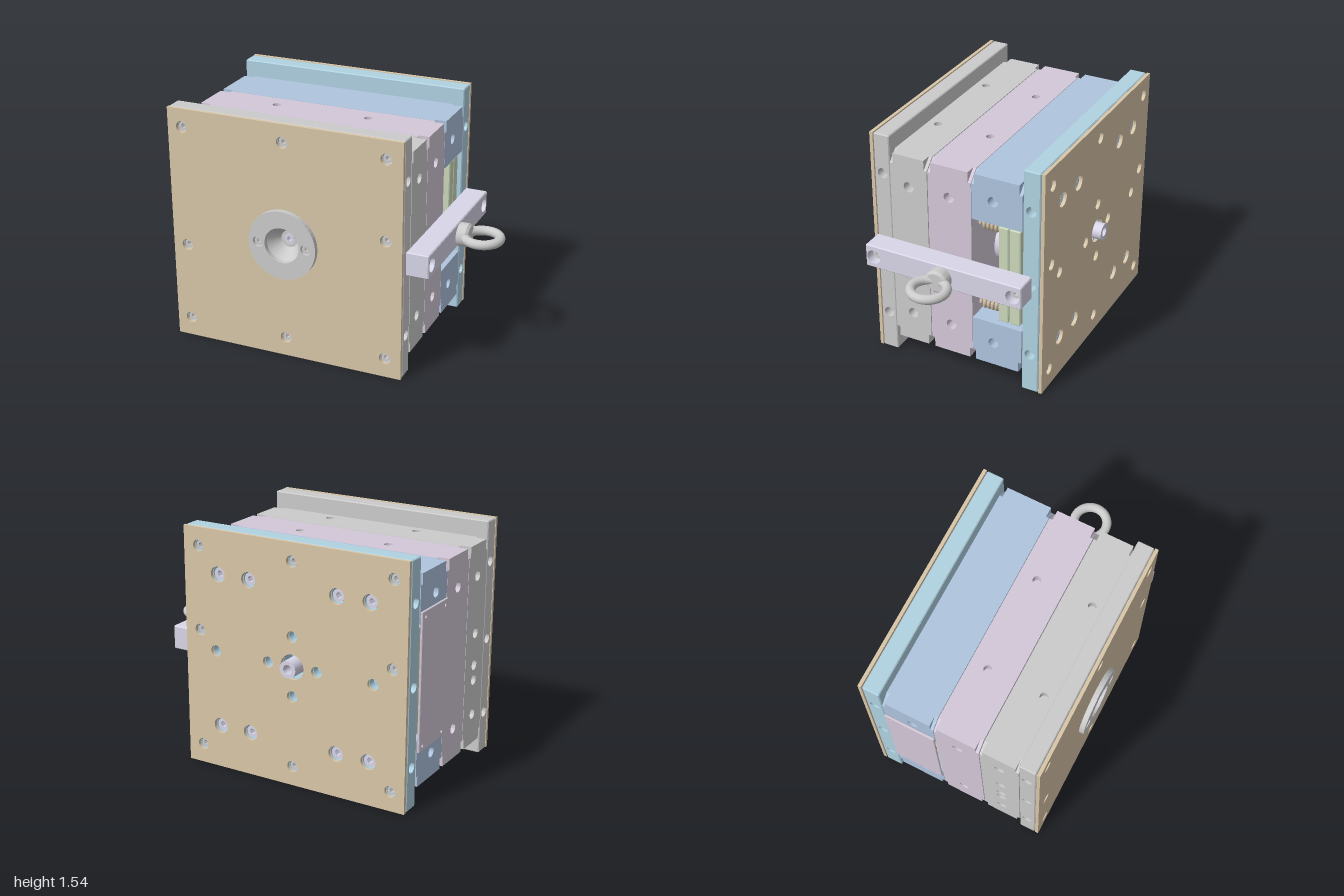
import * as THREE from 'three';
import { mergeGeometries, toCreasedNormals } from 'three/addons/utils/BufferGeometryUtils.js';

const CX = -0.215, CY = 0.772, X0 = -0.985, X1 = 0.555;
const colors = {
  grey: 0xcccccc, tan: 0xd8c6a8, purple: 0xd4c8d8, blue: 0xafc4de, sky: 0xb0d2e2,
  lavender: 0xd8d6e8, green: 0xcbd8bb, yellow: 0xf2ea10,
};
const mats = {};
for (const k in colors) mats[k] = new THREE.MeshStandardMaterial({ color: colors[k] });

const V = (x, y, z) => new THREE.Vector3(x, y, z);
// face frames: u, v, n with u x v = n
const FACES = {
  'x+': [V(0, 0, -1), V(0, 1, 0), V(1, 0, 0)], 'x-': [V(0, 0, 1), V(0, 1, 0), V(-1, 0, 0)],
  'y+': [V(1, 0, 0), V(0, 0, -1), V(0, 1, 0)], 'y-': [V(1, 0, 0), V(0, 0, 1), V(0, -1, 0)],
  'z+': [V(1, 0, 0), V(0, 1, 0), V(0, 0, 1)], 'z-': [V(-1, 0, 0), V(0, 1, 0), V(0, 0, -1)],
};

function circlePath(x, y, r) {
  return new THREE.Path().absarc(x, y, r, 0, Math.PI * 2, true);
}

// box from lo to hi with chamfered edges and blind holes [face, x, y, z, radius, depth]
function drilledBox(lo, hi, holes = [], c = 0.006) {
  const parts = [];
  for (const f in FACES) {
    const [u, v, n] = FACES[f];
    const span = (d) => [lo.dot(d), hi.dot(d)].sort((a, b) => a - b);
    const [ua, ub] = span(u), [va, vb] = span(v);
    const shape = new THREE.Shape([[ua + c, va + c], [ub - c, va + c], [ub - c, vb - c], [ua + c, vb - c]]
      .map((p) => new THREE.Vector2(...p)));
    const m = new THREE.Matrix4().makeBasis(u, v, n)
      .multiply(new THREE.Matrix4().makeTranslation(0, 0, span(n)[1]));
    for (const [face, x, y, z, r, depth] of holes) {
      if (face !== f) continue;
      const p = V(x, y, z), pu = p.dot(u), pv = p.dot(v);
      shape.holes.push(circlePath(pu, pv, r));
      const wall = new THREE.LatheGeometry([[r, 0], [r, -depth], [0, -depth]].map((q) => new THREE.Vector2(...q)), 24);
      wall.rotateX(Math.PI / 2).translate(pu, pv, 0).applyMatrix4(m);
      parts.push(toCreasedNormals(wall, 0.6));
    }
    parts.push(new THREE.ShapeGeometry(shape, 12).applyMatrix4(m).toNonIndexed());
  }
  if (c > 0) parts.push(chamfers(lo, hi, c));
  return mergeGeometries(parts);
}

// the twelve edge strips and eight corner triangles of a chamfered box
function chamfers(lo, hi, c) {
  const mid = lo.clone().add(hi).multiplyScalar(0.5), half = hi.clone().sub(lo).multiplyScalar(0.5);
  const pos = [];
  // corner point with signs s lying on the face of the given axis
  const pt = (s, axis) => V(...[0, 1, 2].map((i) =>
    mid.getComponent(i) + s[i] * (half.getComponent(i) - (i === axis ? 0 : c))));
  const tri = (a, b, d, out) => {
    const n = b.clone().sub(a).cross(d.clone().sub(a));
    for (const p of n.dot(out) > 0 ? [a, b, d] : [a, d, b]) pos.push(p.x, p.y, p.z);
  };
  for (const p of [-1, 1]) for (const q of [-1, 1]) {
    for (let i = 0; i < 3; i++) {
      const j = (i + 1) % 3, k = (i + 2) % 3, s = [0, 0, 0], t = [0, 0, 0];
      s[i] = t[i] = p; s[j] = t[j] = q; s[k] = -1; t[k] = 1;
      const out = V(0, 0, 0).setComponent(i, p).setComponent(j, q);
      tri(pt(s, i), pt(s, j), pt(t, j), out);
      tri(pt(s, i), pt(t, j), pt(t, i), out);
    }
    for (const r of [-1, 1]) tri(pt([p, q, r], 0), pt([p, q, r], 1), pt([p, q, r], 2), V(p, q, r));
  }
  const g = new THREE.BufferGeometry();
  g.setAttribute('position', new THREE.Float32BufferAttribute(pos, 3));
  g.setAttribute('uv', new THREE.Float32BufferAttribute(new Float32Array(pos.length / 3 * 2), 2));
  g.computeVertexNormals();
  return g;
}

function extruded(shape, z, depth) {
  return new THREE.ExtrudeGeometry(shape, { depth, bevelEnabled: false, curveSegments: 24 }).translate(0, 0, z);
}

// block whose corners are cut diagonally at both z ends (pry slots)
function notchedBlock(y0, y1, z0, z1, cutBottom, cutTop, holes) {
  const t = 0.02, b = cutBottom ? 0.068 : 0.001, a = cutTop ? 0.068 : 0.001;
  const outline = [[X0 + b, y0], [X1 - b, y0], [X1, y0 + b], [X1, y1 - a], [X1 - a, y1], [X0 + a, y1], [X0, y1 - a], [X0, y0 + b]];
  const shape = new THREE.Shape(outline.map((p) => new THREE.Vector2(...p)));
  const ends = [z0, z1 - t].map((z) => extruded(shape, z, t));
  return mergeGeometries([drilledBox(V(X0, y0, z0 + t), V(X1, y1, z1 - t), holes, 0), ...ends]);
}

// cylinder along z
function rodZ(r, x, y, z0, z1) {
  return new THREE.CylinderGeometry(r, r, z1 - z0, 28).rotateX(Math.PI / 2).translate(x, y, (z0 + z1) / 2);
}

// screw head with a hexagonal socket
function screwHead(x, y, z, r, depth) {
  const shape = new THREE.Shape().absarc(x, y, r, 0, Math.PI * 2);
  shape.holes.push(new THREE.Path([5, 4, 3, 2, 1, 0].map((i) =>
    new THREE.Vector2(x + r * 0.5 * Math.cos(i * Math.PI / 3), y + r * 0.5 * Math.sin(i * Math.PI / 3)))));
  return extruded(shape, z, depth);
}

export function createModel() {
  const group = new THREE.Group();
  const add = (name, geo, color) => {
    const mesh = new THREE.Mesh(geo, mats[color]);
    mesh.name = name;
    group.add(mesh);
    return mesh;
  };
  const side = (faces, z, ys) => faces.flatMap((f) => ys.map((y) => [f, 0, y, z, 0.034, 0.06]));
  const both = ['x+', 'x-'];

  // screw and bolt positions
  const corners = [-0.89, CX, 0.45].flatMap((x) => [[x, 0.125, 0.037], [x, 1.425, 0.037]]);
  const frontHoles = [...corners, [0.45, 0.91, 0.037], [-0.89, 0.64, 0.037]];
  const rearBolts = [-0.525, -0.305, 0.305, 0.525].flatMap((d) => [[CX + d, 0.28, 0.05], [CX + d, 1.265, 0.05]]);
  const rearScrews = [...corners, [0.45, 0.89, 0.037], [-0.89, 0.89, 0.037]];
  const rearPlain = [[CX, CY + 0.19], [CX, CY - 0.19], [CX + 0.17, CY], [CX - 0.17, CY], [CX + 0.55, CY], [CX - 0.55, CY]]
    .map((p) => [...p, 0.036]);
  const rearHoles = [...rearScrews, ...rearBolts, ...rearPlain];

  // insulating sheets
  const sheet = (holes, z) => {
    const s = new THREE.Shape([[X0, 0], [X1, 0], [X1, 1.542], [X0, 1.542]].map((p) => new THREE.Vector2(...p)));
    for (const [x, y, r] of holes) s.holes.push(circlePath(x, y, r));
    return extruded(s, z, 0.022);
  };
  add('frontInsulatingSheet', sheet([...frontHoles, [CX, CY, 0.15]], 0.568), 'tan');
  add('rearInsulatingSheet', sheet([...rearHoles, [CX, CY, 0.08]], -0.575), 'tan');

  // clamping plates
  const drill = (f, list, depth) => list.map(([x, y, r]) => [f, x, y, 0, r, depth]);
  add('frontClampPlate', drilledBox(V(X0, 0, 0.457), V(X1, 1.542, 0.564), [
    ...drill('z+', frontHoles, 0.04), ...drill('z+', [[CX, CY, 0.15]], 0.1),
    ...side(both, 0.51, [0.27, 1.28]), ...side(['x-'], 0.51, [CY])]), 'grey');
  add('rearClampPlate', drilledBox(V(X0, 0, -0.547), V(X1, 1.542, -0.437), [
    ...drill('z-', rearHoles, 0.05), ...drill('z-', [[CX, CY, 0.08]], 0.1),
    ...side(both, -0.49, [0.27, CY, 1.28])]), 'sky');

  // cavity and core plates, with hoist holes above and below
  const hoist = (z) => ['y+', 'y-'].flatMap((f) => [-0.53, 0.095].map((x) => [f, x, 0, z, 0.026, 0.06]));
  add('cavityPlate', notchedBlock(0.115, 1.435, 0.202, 0.455, true, true, [
    ...side(['x+'], 0.33, [0.32, 1.23]), ...side(['x-'], 0.33, [0.32, 0.55, 0.65, 0.86, 1.23]), ...hoist(0.385)]), 'grey');
  add('corePlate', notchedBlock(0.115, 1.435, -0.095, 0.197, true, true,
    [...side(both, 0.055, [0.32, 1.23]), ...hoist(0.02)]), 'purple');

  // spacer blocks
  add('lowerSpacer', notchedBlock(0.115, 0.425, -0.433, -0.098, true, false, side(both, -0.24, [0.275])), 'blue');
  add('upperSpacer', notchedBlock(1.13, 1.435, -0.433, -0.098, false, true, side(both, -0.24, [1.28])), 'blue');

  // ejector plates
  add('ejectorRetainerPlate', drilledBox(V(-0.965, 0.44, -0.333), V(0.535, 1.11, -0.267)), 'green');
  add('ejectorBackPlate', drilledBox(V(-0.965, 0.44, -0.412), V(0.535, 1.11, -0.337)), 'green');

  // return pins with springs, guide pins with bushings, support pillars
  class Helix extends THREE.Curve {
    getPoint(t) {
      const a = t * Math.PI * 2 * 5.5;
      return V(0.042 * Math.cos(a), 0.042 * Math.sin(a), -0.108 - 0.148 * t);
    }
  }
  const coil = new THREE.TubeGeometry(new Helix(), 150, 0.011, 8);
  for (const sx of [-1, 1]) {
    for (const sy of [-1, 1]) {
      const px = CX + sx * 0.64, py = CY + sy * 0.285;
      add('spring', coil, 'tan').position.set(px, py, 0);
      add('returnPin', rodZ(0.026, px, py, -0.27, -0.09), 'grey');
      add('restButton', rodZ(0.04, px, py, -0.437, -0.41), 'lavender');
      const gx = CX + sx * 0.5, gy = CY + sy * 0.195;
      add('guidePin', rodZ(0.028, gx, gy, -0.437, -0.09), 'lavender');
      for (const z of [-0.15, -0.21]) add('guideCollar', rodZ(0.034, gx, gy, z - 0.025, z + 0.025), 'lavender');
      add('guideBushing', rodZ(0.04, gx, gy, -0.432, -0.23), 'yellow');
    }
    add('supportPillar', rodZ(0.148, CX + sx * 0.33, CY, -0.437, -0.09), 'lavender');
  }

  // locating ring with sprue cone
  const ring = new THREE.Shape().absarc(CX, CY, 0.224, 0, Math.PI * 2);
  for (const [d, r] of [[0, 0.115], [-0.16, 0.034], [0.16, 0.034]]) ring.holes.push(circlePath(CX + d, CY, r));
  add('locatingRing', extruded(ring, 0.59, 0.033), 'grey');
  for (const d of [-0.16, 0.16]) add('ringScrew', screwHead(CX + d, CY, 0.585, 0.03, 0.022), 'grey');
  const cone = new THREE.LatheGeometry([[0.115, 0.592], [0.055, 0.51], [0.03, 0.51]].map((p) => new THREE.Vector2(...p)), 40);
  add('sprueCone', toCreasedNormals(cone.rotateX(Math.PI / 2).translate(CX, CY, 0), 0.4), 'grey');
  add('sprueBushing', screwHead(CX, CY, 0.47, 0.034, 0.045), 'lavender');

  // hollow ejector rod
  const tube = new THREE.Shape().absarc(CX, CY, 0.055, 0, Math.PI * 2);
  tube.holes.push(circlePath(CX, CY, 0.03));
  add('ejectorRod', extruded(tube, -0.625, 0.22), 'lavender');

  // screws in the outer plates
  for (const [x, y] of frontHoles) add('frontScrew', screwHead(x, y, 0.526, 0.03, 0.04), 'grey');
  for (const [x, y] of rearScrews) add('rearScrew', screwHead(x, y, -0.55, 0.03, 0.04), 'grey');
  for (const [x, y] of rearBolts) add('rearBolt', screwHead(x, y, -0.55, 0.04, 0.05), 'lavender');

  // side cover over the ejector space
  const holes = [0.375, 1.175].flatMap((y) => [-0.14, -0.39].map((z) => ['x-', 0, y, z, 0.01, 0.01]));
  add('sideCover', drilledBox(V(-1, 0.34, -0.43), V(X0, 1.21, -0.1), holes, 0.003), 'purple');

  // lifting bar and eye bolt
  add('liftingBar', drilledBox(V(0.565, 0.697, -0.505), V(0.71, 0.85, 0.56),
    [['x+', 0, CY, 0.503, 0.046, 0.09], ['x+', 0, CY, -0.448, 0.046, 0.09]]), 'lavender');
  for (const z of [0.503, -0.448]) {
    add('barBolt', screwHead(0, 0, 0, 0.036, 0.04).rotateY(Math.PI / 2).translate(0.62, CY, z), 'grey');
  }
  const collar = new THREE.LatheGeometry([[0, 0], [0.068, 0], [0.075, 0.007], [0.075, 0.06], [0.06, 0.075], [0, 0.075]]
    .map((p) => new THREE.Vector2(...p)), 36);
  add('eyeBoltCollar', toCreasedNormals(collar.rotateZ(-Math.PI / 2).translate(0.71, CY, 0.028), 0.5), 'grey');
  add('eyeBoltRing', new THREE.TorusGeometry(0.108, 0.03, 18, 56).rotateX(Math.PI / 2).translate(0.862, CY, 0.028), 'grey');
  return group;
}
